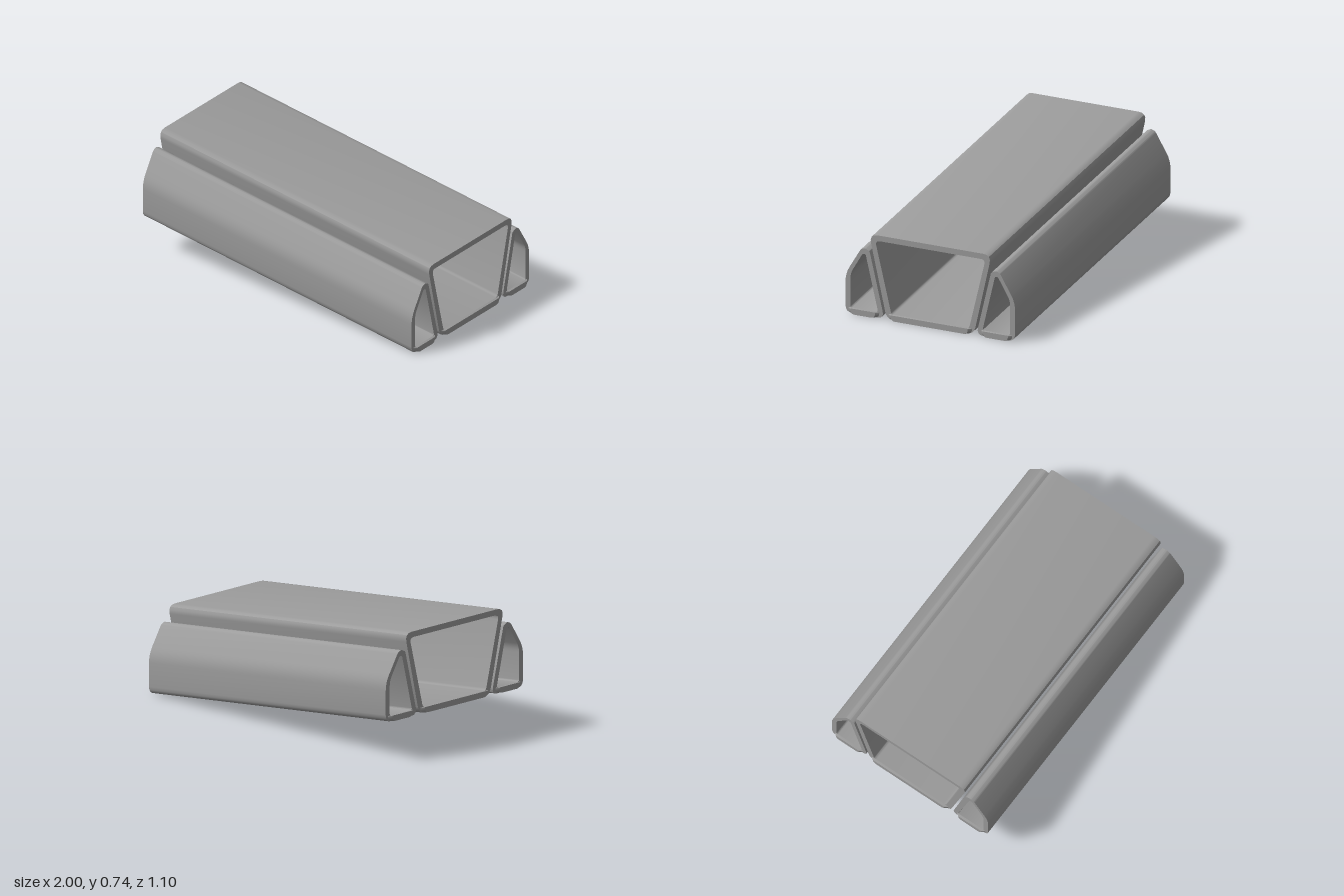
import * as THREE from 'three';
import { toCreasedNormals } from 'three/addons/utils/BufferGeometryUtils.js';

const HALF = 0.985;   // half length of the tubes
const LIP = 0.015;    // how far the floor sticks out at each end
const SLOPE = 0.119;  // drop per unit of x
const WALL = 0.035;

// Polygon with rounded corners, anticlockwise; each corner is [-z, y, radius]
function rounded(path, corners) {
  const n = corners.length;
  corners.forEach(([x, y, r], i) => {
    const p = new THREE.Vector2(x, y);
    const towards = (q) =>
      new THREE.Vector2(q[0], q[1]).sub(p).normalize().multiplyScalar(r).add(p);
    const a = towards(corners[(i + n - 1) % n]);
    const b = towards(corners[(i + 1) % n]);
    if (i === 0) path.moveTo(a.x, a.y);
    else path.lineTo(a.x, a.y);
    path.quadraticCurveTo(x, y, b.x, b.y);
  });
  path.closePath();
  return path;
}

// Turn an extrusion to run along x from x0, then tilt it by shearing
function lay(geometry, x0) {
  geometry.rotateY(Math.PI / 2).translate(x0, 0, 0);
  const p = geometry.attributes.position;
  for (let i = 0; i < p.count; i++) {
    p.setY(i, p.getY(i) + SLOPE * (1 - p.getX(i)));
  }
  return toCreasedNormals(geometry, 0.6);
}

// Hollow tube over the full length
function tube(outer, inner) {
  const shape = rounded(new THREE.Shape(), outer);
  shape.holes.push(rounded(new THREE.Path(), inner));
  const g = new THREE.ExtrudeGeometry(shape, {
    depth: 2 * HALF, bevelEnabled: false, curveSegments: 4,
  });
  return lay(g, -HALF);
}

// Floor lip at one end, round at the bottom and narrower at its tip
function lip(centre, halfWidth, end) {
  const w = halfWidth;
  const shape = rounded(new THREE.Shape(), [
    [-w, 0, 0.03], [w, 0, 0.03], [w, WALL, 0.003], [-w, WALL, 0.003],
  ]);
  const g = new THREE.ExtrudeGeometry(shape, {
    depth: LIP, bevelEnabled: false, curveSegments: 4,
  });
  const p = g.attributes.position;
  for (let i = 0; i < p.count; i++) {
    const atTip = (p.getZ(i) > LIP / 2) === (end > 0);
    p.setX(i, p.getX(i) * (atTip ? 1 - 0.02 / w : 1) - centre);
  }
  return lay(g, end > 0 ? HALF : -HALF - LIP);
}

export function createModel() {
  const group = new THREE.Group();
  const material = new THREE.MeshStandardMaterial({ color: 0x9c9c9c });
  const add = (geometry, name) => {
    const mesh = new THREE.Mesh(geometry, material);
    mesh.name = name;
    group.add(mesh);
  };

  // Wide central channel
  add(tube(
    [[-0.282, 0, 0.045], [0.282, 0, 0.045], [0.396, 0.504, 0.055], [-0.396, 0.504, 0.055]],
    [[-0.252, WALL, 0.015], [0.252, WALL, 0.015], [0.357, 0.47, 0.03], [-0.357, 0.47, 0.03]],
  ), 'centralChannel');

  // Narrow side channels, mirrored front and back
  const outer = [[0.298, 0, 0.045], [0.549, 0, 0.045], [0.549, 0.238, 0.05],
    [0.451, 0.4, 0.008], [0.425, 0.412, 0.008], [0.393, 0.397, 0.008]];
  const inner = [[0.338, WALL, 0.012], [0.517, WALL, 0.012], [0.517, 0.243, 0.03],
    [0.438, 0.376, 0.008], [0.419, 0.376, 0.008]];
  const mirror = (pts) => pts.map(([z, y, r]) => [-z, y, r]).reverse();
  add(tube(mirror(outer), mirror(inner)), 'frontSideChannel');
  add(tube(outer, inner), 'backSideChannel');

  // Floor lips at both ends of every channel
  for (const end of [1, -1]) {
    const where = end > 0 ? 'Left' : 'Right';
    add(lip(0, 0.27, end), 'centralLip' + where);
    add(lip(0.43, 0.1, end), 'frontLip' + where);
    add(lip(-0.43, 0.1, end), 'backLip' + where);
  }
  return group;
}
